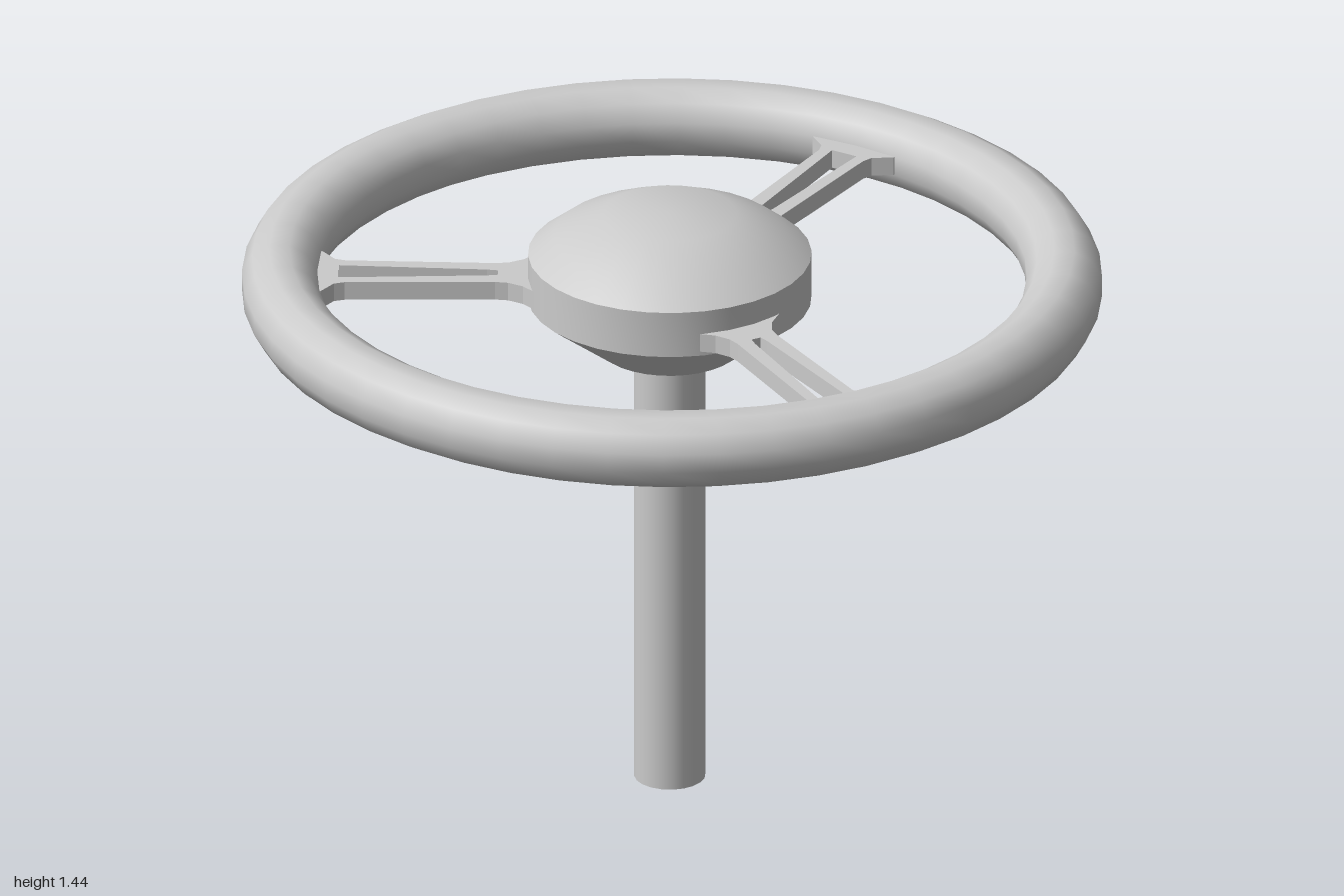
import * as THREE from 'three';
import { mergeVertices, toCreasedNormals } from 'three/addons/utils/BufferGeometryUtils.js';

const RIM_Y = 1.258;
const HUB_Z = 0.01;

export function createModel() {
  const group = new THREE.Group();
  const material = new THREE.MeshStandardMaterial({ color: 0xcccccc });

  const add = (name, geometry, y = 0, z = 0) => {
    const mesh = new THREE.Mesh(geometry, material);
    mesh.name = name;
    mesh.position.set(0, y, z);
    group.add(mesh);
    return mesh;
  };
  const points = (list) => list.map(([x, y]) => new THREE.Vector2(x, y));

  // Rim: a twelve-sided tube, flat on top and bottom, swept round the axis
  const section = [];
  for (let i = 0; i <= 12; i++) {
    const a = ((i + 0.5) / 12) * Math.PI * 2;
    section.push(new THREE.Vector2(0.9125 + 0.0906 * Math.cos(a), 0.0906 * Math.sin(a)));
  }
  let rim = new THREE.LatheGeometry(section, 48);
  rim.deleteAttribute('normal');
  rim.deleteAttribute('uv');
  rim = mergeVertices(rim, 1e-4);
  rim.computeVertexNormals();
  add('rim', rim, RIM_Y);

  // Hub: cone below, short cylinder, domed cap
  const hub = new THREE.LatheGeometry(points([
    [0, 1.1], [0.165, 1.1], [0.33, 1.225], [0.33, 1.338],
    [0.27, 1.385], [0.155, 1.44], [0, 1.442],
  ]), 32);
  add('hub', toCreasedNormals(hub, 0.6), 0, HUB_Z);

  // Column
  add('column', new THREE.CylinderGeometry(0.083, 0.083, 1.12, 20), 0.56, HUB_Z);

  // Spokes: slotted flat bars, flared at the hub and at the rim
  const side = [
    [0.16, 0.27], [0.12, 0.305], [0.075, 0.345], [0.056, 0.38], [0.052, 0.41],
    [0.06, 0.76], [0.068, 0.785], [0.11, 0.815], [0.115, 0.86],
  ];
  const mirrored = side.map(([x, y]) => [-x, y]).reverse();
  const outline = new THREE.Shape(points([...side, ...mirrored]));
  outline.holes.push(new THREE.Path(points([
    [-0.012, 0.405], [-0.016, 0.43], [-0.033, 0.775],
    [0.033, 0.775], [0.016, 0.43], [0.012, 0.405],
  ])));
  const thickness = 0.045;
  const spoke = new THREE.ExtrudeGeometry(outline, { depth: thickness, bevelEnabled: false });
  spoke.translate(0, 0, -thickness / 2);
  spoke.rotateX(-Math.PI / 2); // points toward -z, lying flat
  for (let i = 0; i < 3; i++) {
    add('spoke' + (i + 1), spoke, RIM_Y).rotation.y = (i * Math.PI * 2) / 3;
  }

  return group;
}
